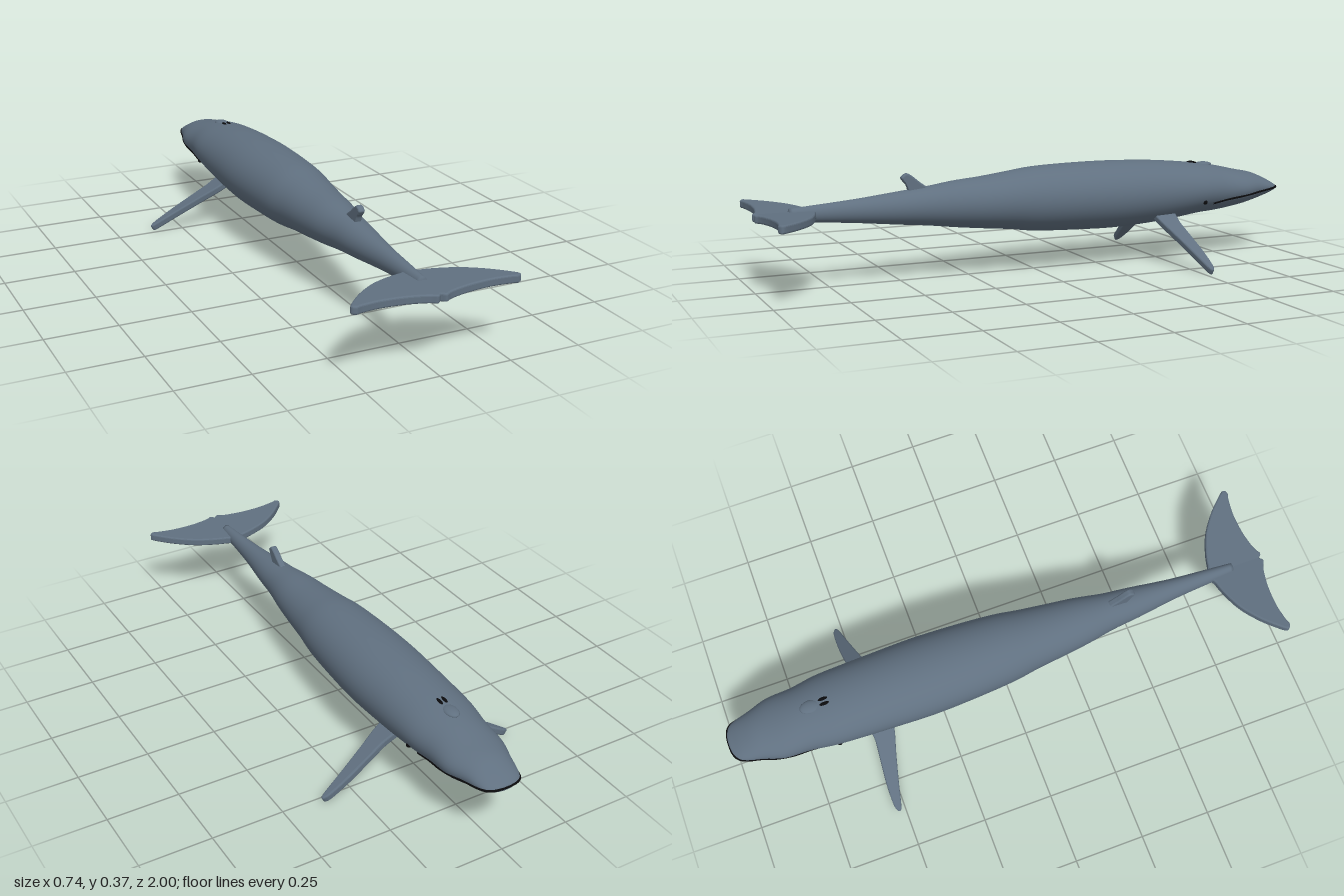
import * as THREE from 'three';

// Body sections: z, half width, bottom y, top y (head at -z, tail at +z)
const SECTIONS = [
  [-1, 0.001, 0.244, 0.246], [-0.996, 0.035, 0.234, 0.254], [-0.98, 0.063, 0.225, 0.263],
  [-0.95, 0.077, 0.212, 0.279], [-0.9, 0.09, 0.196, 0.3], [-0.83, 0.112, 0.181, 0.315],
  [-0.74, 0.116, 0.167, 0.335], [-0.65, 0.129, 0.16, 0.349], [-0.55, 0.134, 0.147, 0.36],
  [-0.45, 0.137, 0.137, 0.368], [-0.3, 0.141, 0.13, 0.374], [-0.15, 0.136, 0.133, 0.374],
  [0, 0.125, 0.14, 0.369], [0.1, 0.11, 0.153, 0.357], [0.2, 0.098, 0.163, 0.345],
  [0.3, 0.085, 0.174, 0.336], [0.4, 0.067, 0.187, 0.322], [0.5, 0.056, 0.197, 0.311],
  [0.65, 0.036, 0.213, 0.295], [0.8, 0.024, 0.226, 0.283], [0.88, 0.018, 0.23, 0.277],
];
const curves = [1, 2, 3].map(k => new THREE.SplineCurve(SECTIONS.map(s => new THREE.Vector2(s[0], s[k]))));

function sectionAt(t) {
  const [w, b, top] = curves.map(c => c.getPoint(t));
  return { z: w.x, w: w.y, cy: (b.y + top.y) / 2, h: (top.y - b.y) / 2 };
}

function sectionAtZ(z) {
  let lo = 0, hi = 1;
  for (let i = 0; i < 30; i++) {
    const mid = (lo + hi) / 2;
    if (sectionAt(mid).z < z) lo = mid; else hi = mid;
  }
  return sectionAt(lo);
}

// Half width of the body at a given height and station
function surfaceX(y, z) {
  const s = sectionAtZ(z);
  return s.w * Math.sqrt(Math.max(0, 1 - ((y - s.cy) / s.h) ** 2));
}

function bodyGeometry(rings = 100, sides = 48) {
  const pos = [], index = [];
  for (let i = 0; i <= rings; i++) {
    const s = sectionAt(i / rings);
    for (let j = 0; j < sides; j++) {
      const a = (j / sides) * Math.PI * 2;
      pos.push(s.w * Math.cos(a), s.cy + s.h * Math.sin(a), s.z);
    }
  }
  for (let i = 0; i < rings; i++) {
    for (let j = 0; j < sides; j++) {
      const a = i * sides + j, b = i * sides + (j + 1) % sides;
      index.push(a, b, a + sides, b, b + sides, a + sides);
    }
  }
  // Tail stump cap
  const end = sectionAt(1), hub = pos.length / 3, last = rings * sides;
  pos.push(0, end.cy, end.z);
  for (let j = 0; j < sides; j++) index.push(last + j, last + (j + 1) % sides, hub);
  const g = new THREE.BufferGeometry();
  g.setAttribute('position', new THREE.Float32BufferAttribute(pos, 3));
  g.setIndex(index);
  g.computeVertexNormals();
  return g;
}

// Bevelled plate centred on its thickness; outline starts with a straight root edge
function plate(points, thickness) {
  const v = points.map(p => new THREE.Vector2(...p));
  const shape = new THREE.Shape();
  shape.moveTo(v[0].x, v[0].y);
  shape.splineThru(v.slice(1));
  const bevel = 0.006;
  const g = new THREE.ExtrudeGeometry(shape, {
    depth: thickness - 2 * bevel, bevelThickness: bevel, bevelSize: bevel, bevelOffset: -bevel,
    bevelSegments: 3, curveSegments: 40,
  });
  return g.translate(0, 0, bevel - thickness / 2);
}

// Horizontal fin with outline in (distance outward, z)
function flatFin(points, side, thickness) {
  return plate(points.map(([x, z]) => [side * x, z]), thickness).rotateX(Math.PI / 2);
}

export function createModel() {
  const group = new THREE.Group();
  const skin = new THREE.MeshStandardMaterial({ color: 0x607080 });
  skin.name = 'slate skin';
  const black = new THREE.MeshStandardMaterial({ color: 0x0a0a0c });
  black.name = 'black';
  const add = (name, geometry, material = skin) => {
    const m = new THREE.Mesh(geometry, material);
    m.name = name;
    group.add(m);
    return m;
  };

  add('body', bodyGeometry());

  const fluke = [[-0.01, 0.98], [-0.01, 0.8], [0.04, 0.802], [0.1, 0.82], [0.16, 0.848], [0.22, 0.893],
    [0.265, 0.938], [0.288, 0.968], [0.275, 0.982], [0.25, 0.976], [0.19, 0.968], [0.12, 0.97],
    [0.065, 0.979], [0.035, 0.988], [0.015, 0.998], [0, 0.987], [-0.01, 0.98]];
  const flipper = [[-0.04, -0.44], [-0.04, -0.52], [0.04, -0.523], [0.12, -0.53], [0.2, -0.536],
    [0.27, -0.536], [0.297, -0.53], [0.302, -0.52], [0.285, -0.511], [0.2, -0.492],
    [0.1, -0.468], [0.02, -0.447], [-0.04, -0.44]];

  for (const side of [1, -1]) {
    const label = side > 0 ? 'left' : 'right';
    const f = add(label + 'Fluke', flatFin(fluke, side, 0.028));
    f.position.y = 0.252;
    f.rotation.z = side * 0.028;

    const p = add(label + 'Flipper', flatFin(flipper, side, 0.025));
    p.position.set(side * 0.1025, 0.163, 0);
    p.rotation.z = -side * 0.526;

    const eye = add(label + 'Eye', new THREE.SphereGeometry(0.009, 16, 12), black);
    eye.position.set(side * (surfaceX(0.215, -0.64) - 0.002), 0.215, -0.64);

    const hole = add(label + 'Blowhole', new THREE.SphereGeometry(1, 16, 12), black);
    hole.scale.set(0.006, 0.005, 0.018);
    hole.position.set(side * 0.009, 0.349, -0.645);
  }

  // Raised guard ahead of the blowholes
  const guard = add('blowholeGuard', new THREE.SphereGeometry(1, 24, 16));
  guard.scale.set(0.024, 0.011, 0.036);
  guard.position.set(0, 0.339, -0.695);

  // Small swept fin on the back
  const dorsal = [[0.465, 0.3], [0.395, 0.31], [0.43, 0.342], [0.46, 0.366], [0.475, 0.371],
    [0.492, 0.358], [0.486, 0.345], [0.474, 0.33], [0.465, 0.3]];
  add('dorsalFin', plate(dorsal, 0.024).rotateY(-Math.PI / 2));

  // Mouth line running round the snout
  const half = [[-0.68, 0.207], [-0.74, 0.217], [-0.8, 0.225], [-0.86, 0.232], [-0.91, 0.237],
    [-0.95, 0.241], [-0.98, 0.244], [-0.995, 0.245]]
    .map(([z, y]) => new THREE.Vector3(surfaceX(y, z), y, z));
  const mirrored = half.map(p => new THREE.Vector3(-p.x, p.y, p.z)).reverse();
  add('mouth', new THREE.TubeGeometry(new THREE.CatmullRomCurve3([...half, ...mirrored]), 120, 0.004, 8), black);

  return group;
}
